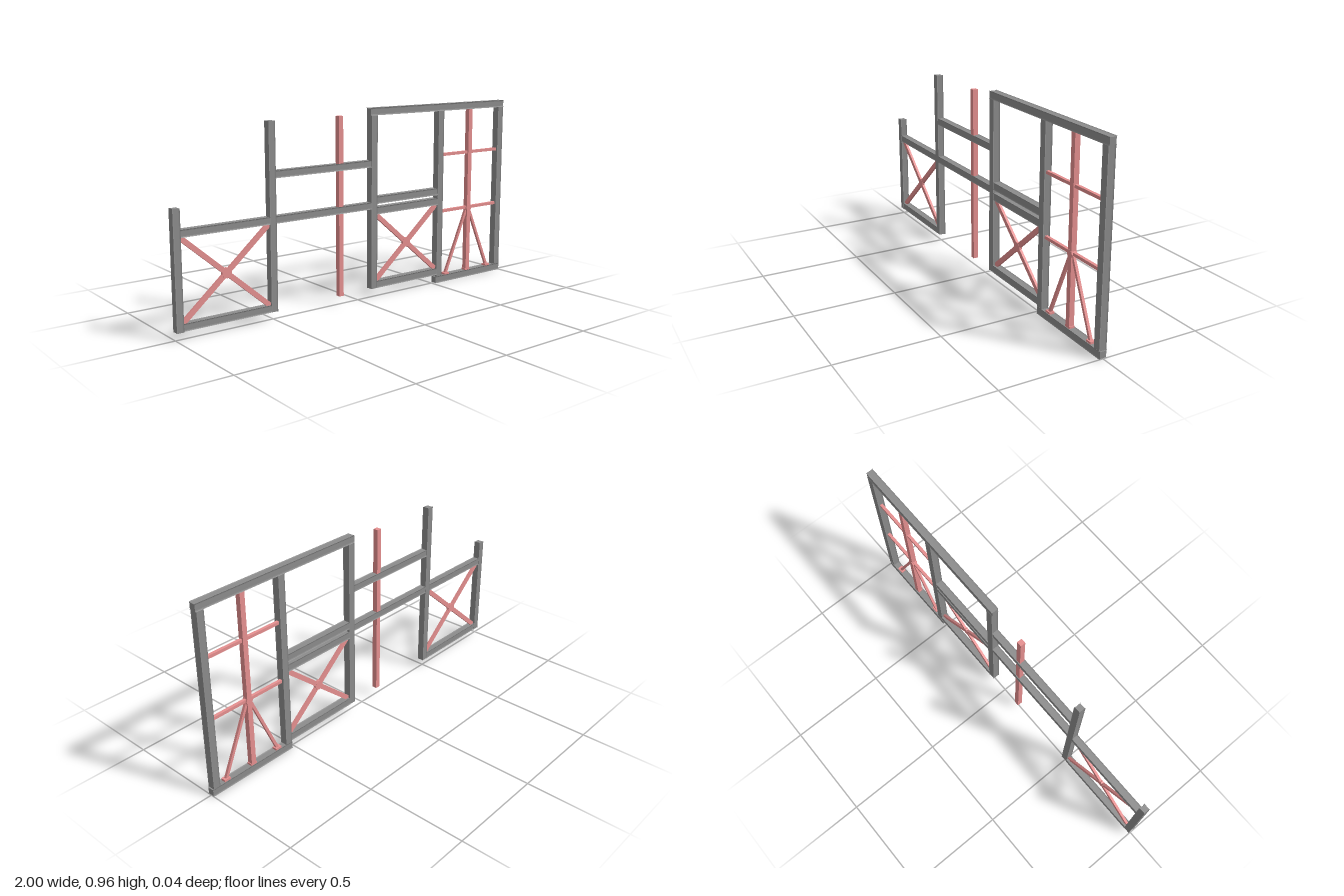
import * as THREE from 'three';

const frameMat = new THREE.MeshStandardMaterial({ color: 0x8c8c8c, flatShading: true });
const braceMat = new THREE.MeshStandardMaterial({ color: 0xe69090, flatShading: true });

// Square section with raised corners and a shallow hollow along each side
function section(h) {
  const pts = [];
  const side = [[1, 1], [0.88, 0.92], [0.65, 0.86], [-0.65, 0.86], [-0.88, 0.92]];
  for (let i = 0; i < 4; i++) {
    for (const [a, b] of side) {
      pts.push(new THREE.Vector2(a * h, b * h).rotateAround(new THREE.Vector2(), i * Math.PI / 2));
    }
  }
  return new THREE.Shape(pts);
}

// Places a geometry that runs along +x so it leads from (x0, y0) to (x1, y1)
function place(parent, name, geo, mat, x0, y0, x1, y1) {
  const mesh = new THREE.Mesh(geo, mat);
  mesh.name = name;
  mesh.position.set(x0, y0, 0);
  mesh.rotation.z = Math.atan2(y1 - y0, x1 - x0);
  parent.add(mesh);
}

// Heavy frame member of half-thickness h
function beam(parent, name, x0, y0, x1, y1, h) {
  const depth = Math.hypot(x1 - x0, y1 - y0);
  const geo = new THREE.ExtrudeGeometry(section(h), { depth, bevelEnabled: false });
  place(parent, name, geo.rotateY(Math.PI / 2), frameMat, x0, y0, x1, y1);
}

// Light coloured bar, w wide in the wall plane and d deep
function bar(parent, name, x0, y0, x1, y1, w, d) {
  const length = Math.hypot(x1 - x0, y1 - y0);
  const geo = new THREE.BoxGeometry(length, w, d).translate(length / 2, 0, 0);
  place(parent, name, geo, braceMat, x0, y0, x1, y1);
}

// Round plate facing the front
function disc(parent, name, x, y, r, d) {
  const mesh = new THREE.Mesh(new THREE.CylinderGeometry(r, r, d, 8), braceMat);
  mesh.name = name;
  mesh.rotation.x = Math.PI / 2;
  mesh.position.set(x, y, 0);
  parent.add(mesh);
}

// Two flat diagonals with a small plate at the crossing
function crossBrace(parent, name, x0, y0, x1, y1) {
  const g = new THREE.Group();
  g.name = name;
  bar(g, 'risingBrace', x0, y0, x1, y1, 0.024, 0.012);
  bar(g, 'fallingBrace', x0, y1, x1, y0, 0.024, 0.012);
  disc(g, 'braceHub', (x0 + x1) / 2, (y0 + y1) / 2, 0.025, 0.014);
  parent.add(g);
}

export function createModel() {
  const model = new THREE.Group();
  model.name = 'timberFrameWall';
  const L = 0.0175, R = 0.0185; // half-thickness of the two frame sizes

  // Posts: x, bottom, top, half-thickness
  const posts = [
    [-0.982, 0.035, 0.583, L], [-0.5, 0.038, 0.926, L],
    [0.092, 0.045, 0.92, R], [0.537, 0.035, 0.92, R], [0.978, 0.035, 0.92, R],
  ];
  posts.forEach(([x, y0, y1, h]) => beam(model, 'post', x, y0, x, y1, h));

  // Rails: y, start, end, half-thickness
  const rails = [
    [0.056, -0.966, -0.516, L], [0.472, -0.966, -0.516, L],
    [0.472, -0.484, 0.076, L], [0.682, -0.484, 0.076, L],
    [0.064, 0.108, 0.52, R], [0.444, 0.108, 0.52, R], [0.497, 0.108, 0.52, R],
  ];
  rails.forEach(([y, x0, x1, h]) => beam(model, 'rail', x0, y, x1, y, h));

  // Top plate and sill
  beam(model, 'topPlate', 0.07, 0.937, 1, 0.937, R);
  beam(model, 'sill', 0.515, 0.0185, 1, 0.0185, R);

  // Crossed braces in the low panels
  crossBrace(model, 'leftPanelBraces', -0.967, 0.067, -0.513, 0.457);
  crossBrace(model, 'centrePanelBraces', 0.107, 0.077, 0.523, 0.428);

  // Slender inner poles
  bar(model, 'freePole', -0.11, 0.042, -0.11, 0.926, 0.026, 0.026);
  bar(model, 'doorPole', 0.755, 0.035, 0.755, 0.921, 0.026, 0.026);

  // Thin crossbars and splayed struts of the tall panel
  for (const y of [0.386, 0.688]) bar(model, 'crossbar', 0.553, y, 0.963, y, 0.015, 0.015);
  for (const s of [-1, 1]) {
    bar(model, 'strut', 0.755 + s * 0.158, 0.036, 0.755 + s * 0.004, 0.388, 0.014, 0.013);
  }

  // Joint collar and strut feet
  disc(model, 'jointCollar', 0.755, 0.383, 0.019, 0.028);
  for (const s of [-1, 0, 1]) {
    const foot = new THREE.Mesh(new THREE.BoxGeometry(0.034, 0.01, 0.026), braceMat);
    foot.name = 'strutFoot';
    foot.position.set(0.755 + s * 0.156, 0.04, 0);
    model.add(foot);
  }
  return model;
}
